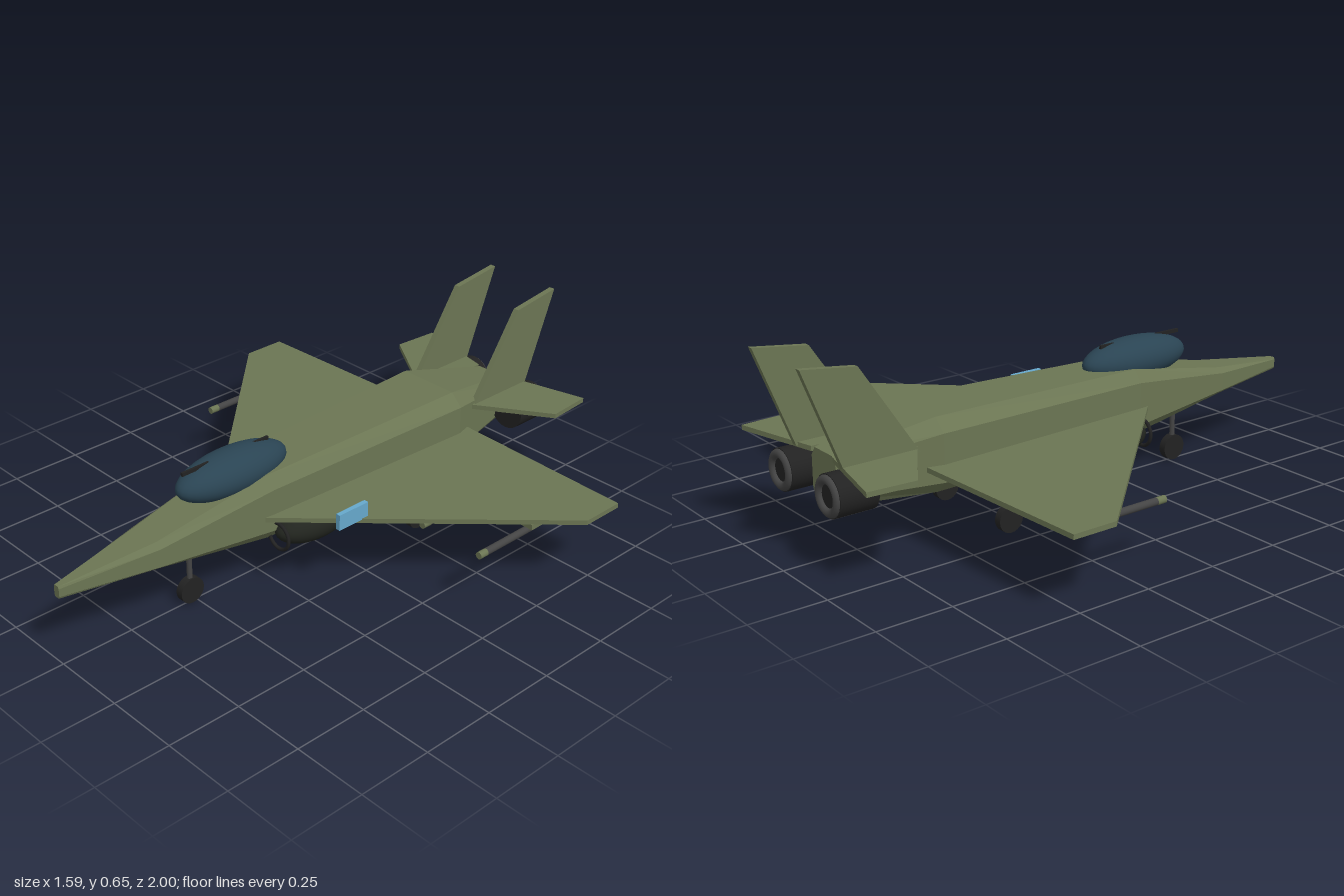
import * as THREE from 'three';

const mat = (color, flatShading = false) =>
  new THREE.MeshStandardMaterial({ color, flatShading });
const OLIVE = mat(0x6b7553, true);
const BLACK = mat(0x222222);
const STEEL = mat(0x444444);
const TANK = mat(0x22251f);
const GLASS = mat(0x2a4453);
const BLUE = mat(0x66a8cc, true);

export function createModel() {
  const model = new THREE.Group();

  const add = (name, geometry, material, x = 0, y = 0, z = 0) => {
    const mesh = new THREE.Mesh(geometry, material);
    mesh.name = name;
    mesh.position.set(x, y, z);
    model.add(mesh);
    return mesh;
  };
  const box = (w, h, d) => new THREE.BoxGeometry(w, h, d);
  const rodZ = (rFront, rBack, len, sides = 20) =>
    new THREE.CylinderGeometry(rFront, rBack, len, sides).rotateX(Math.PI / 2);
  const ellipsoid = (rx, ry, rz) => new THREE.SphereGeometry(1, 32, 20).scale(rx, ry, rz);
  const plate = (points, depth) => new THREE.ExtrudeGeometry(
    new THREE.Shape(points.map(([a, b]) => new THREE.Vector2(a, b))),
    { depth, bevelEnabled: false });
  // Flat panel outlined in x and z, mirrored by side
  const panel = (points, side, thickness) =>
    plate(points.map(([x, z]) => [x * side, z]), thickness).rotateX(Math.PI / 2);

  add('fuselage', fuselageGeometry(), OLIVE);

  // Canopy with its raised rail
  add('canopy', ellipsoid(0.085, 0.072, 0.212), GLASS, 0, 0.4, 0.34);
  add('canopyRail', box(0.008, 0.012, 0.34), BLACK, 0, 0.459, 0.363);

  for (const side of [1, -1]) {
    const label = side > 0 ? 'left' : 'right';

    // Delta wing, tailplane and fin
    add(label + 'Wing', panel(
      [[0.09, 0.33], [0.795, -0.41], [0.795, -0.56], [0.09, -0.585]], side, 0.016),
      OLIVE, 0, 0.264, 0);
    add(label + 'Tailplane', panel(
      [[0.06, -0.58], [0.13, -0.61], [0.366, -0.765], [0.355, -0.925], [0.06, -0.855]], side, 0.016),
      OLIVE, 0, 0.336, 0);
    add(label + 'Fin', plate(
      [[-0.615, 0.325], [-0.815, 0.623], [-1, 0.647], [-0.873, 0.325]], 0.02).rotateY(-Math.PI / 2),
      OLIVE, 0.135 * side, 0, 0);

    // Engine nozzle with rear rim
    add(label + 'Engine', rodZ(0.067, 0.067, 0.13, 28), BLACK, 0.135 * side, 0.254, -0.852);
    add(label + 'NozzleRim', new THREE.TorusGeometry(0.05, 0.015, 10, 28), STEEL,
      0.135 * side, 0.254, -0.915);

    // Intake pod with a lip ring
    add(label + 'Pod', ellipsoid(0.075, 0.062, 0.15), TANK, 0.13 * side, 0.194, 0.12);
    add(label + 'PodLip', new THREE.TorusGeometry(0.045, 0.006, 8, 28), BLACK,
      0.13 * side, 0.188, 0.265);

    // Underwing missiles and their mounts
    for (const x of [0.4, 0.637]) {
      add(label + 'MissileMount', box(0.06, 0.018, 0.07), OLIVE, x * side, 0.224, -0.338);
      add(label + 'Missile', rodZ(0.012, 0.012, 0.23), STEEL, x * side, 0.2, -0.24);
      add(label + 'MissileTip', rodZ(0.012, 0.012, 0.032), mat(0x6b7553), x * side, 0.2, -0.109);
    }
  }

  // Landing gear: one nose leg and two main legs
  for (const [name, x, z] of [['nose', 0, 0.52], ['left', 0.172, -0.31], ['right', -0.172, -0.31]]) {
    add(name + 'GearLeg', new THREE.CylinderGeometry(0.009, 0.009, 0.2, 14), STEEL, x, 0.15, z);
    add(name + 'Wheel', new THREE.CylinderGeometry(0.044, 0.044, 0.026, 24).rotateZ(Math.PI / 2),
      BLACK, x, 0.044, z);
  }

  // Small block on the left wing's leading edge
  add('wingSensor', box(0.016, 0.054, 0.12), BLUE, 0.31, 0.287, 0.125);

  return model;
}

// Eight-sided body lofted from nose to tail
function fuselageGeometry() {
  // z, half width, bottom, top
  const stations = [
    [1, 0.012, 0.237, 0.278],
    [0.68, 0.076, 0.218, 0.312],
    [0.27, 0.117, 0.165, 0.39],
    [-0.53, 0.152, 0.165, 0.403],
    [-0.85, 0.068, 0.176, 0.335],
  ];
  const corners = [[1, -0.65], [1, 0.65], [0.72, 1], [-0.72, 1],
    [-1, 0.65], [-1, -0.65], [-0.72, -1], [0.72, -1]];
  const n = corners.length;
  const positions = stations.flatMap(([z, w, lo, hi]) =>
    corners.flatMap(([x, y]) => [x * w, (lo + hi) / 2 + y * (hi - lo) / 2, z]));
  const index = [];
  for (let i = 0; i < stations.length - 1; i++) {
    for (let j = 0; j < n; j++) {
      const a = i * n + j, b = i * n + (j + 1) % n;
      index.push(a, a + n, b, b, a + n, b + n);
    }
  }
  // Nose and tail caps
  const last = (stations.length - 1) * n;
  for (let j = 1; j < n - 1; j++) {
    index.push(0, j, j + 1, last, last + j + 1, last + j);
  }
  const geometry = new THREE.BufferGeometry();
  geometry.setAttribute('position', new THREE.Float32BufferAttribute(positions, 3));
  geometry.setIndex(index);
  const flat = geometry.toNonIndexed();
  flat.computeVertexNormals();
  return flat;
}
